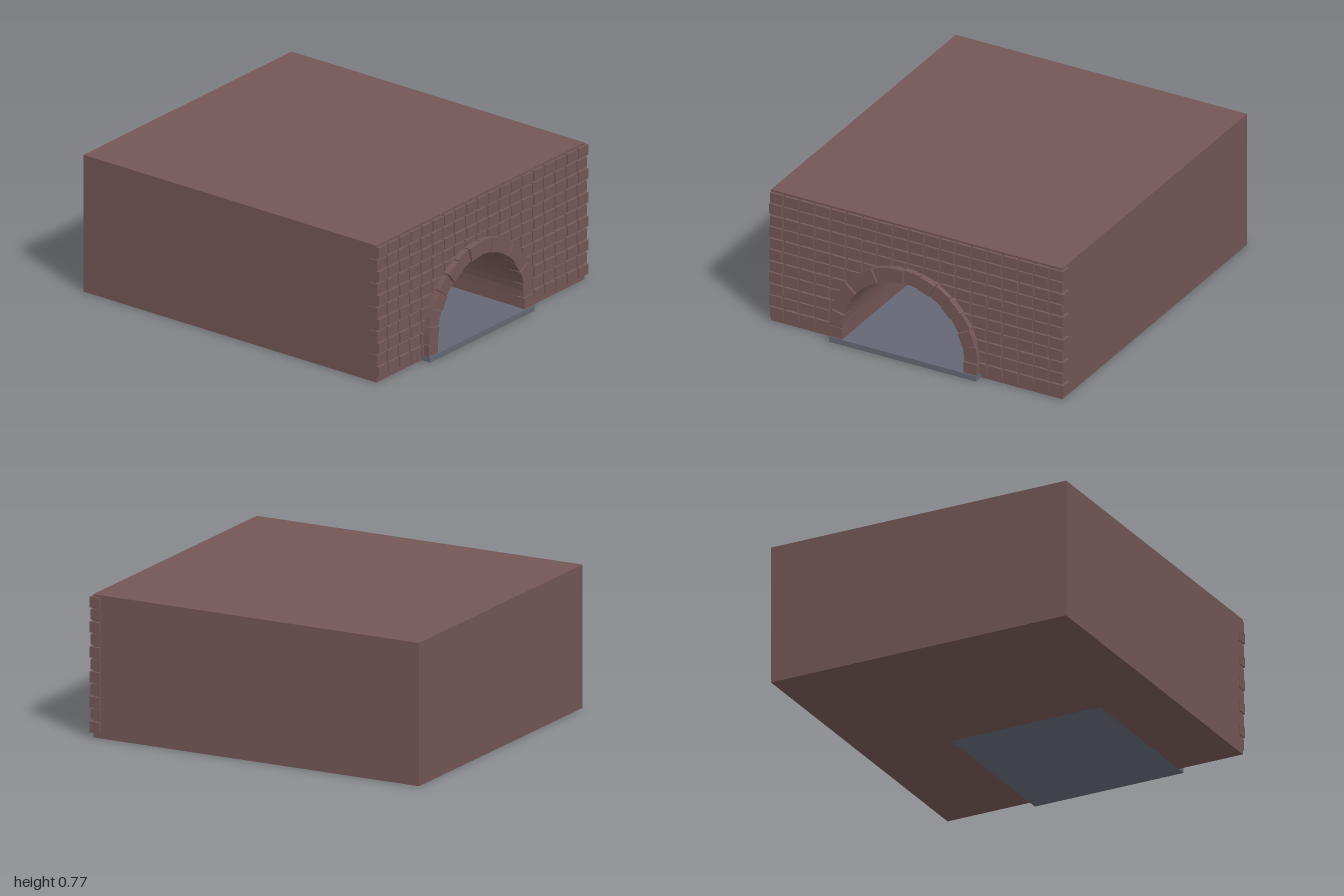
import * as THREE from 'three';

const CX = -0.06, CY = 0.095;        // centre of the arch
const R_IN = 0.365, R_OUT = 0.44;    // arch ring
const BACK = -1, TUNNEL_END = 0.08, FACE = 0.945;
const X0 = -0.88, X1 = 0.867, TOP = 0.775, FLOOR = 0.03;

const brick = new THREE.MeshStandardMaterial({ color: 0x745656 });
brick.name = 'brickBrown';
const slate = new THREE.MeshStandardMaterial({ color: 0x646874 });
slate.name = 'slateGrey';

function add(parent, name, geometry, material) {
  const mesh = new THREE.Mesh(geometry, material);
  mesh.name = name;
  parent.add(mesh);
  return mesh;
}

// box given by its minimum and maximum corners
function box(x0, x1, y0, y1, z0, z1) {
  return new THREE.BoxGeometry(x1 - x0, y1 - y0, z1 - z0)
    .translate((x0 + x1) / 2, (y0 + y1) / 2, (z0 + z1) / 2);
}

// prism with an outline in x, y between two depths
function prism(points, z0, z1) {
  const shape = new THREE.Shape(points.map(([x, y]) => new THREE.Vector2(x, y)));
  return new THREE.ExtrudeGeometry(shape, { depth: z1 - z0, bevelEnabled: false })
    .translate(0, 0, z0);
}

// front block with the tunnel cut out, and the solid block behind it
function buildBody(group) {
  const outline = [[X0, 0], [CX - R_OUT, 0], [CX - R_OUT, FLOOR], [CX - R_IN, FLOOR]];
  for (let i = 0; i <= 28; i++) {
    const a = Math.PI * (1 - i / 28);
    outline.push([CX + R_IN * Math.cos(a), CY + R_IN * Math.sin(a)]);
  }
  outline.push([CX + R_IN, FLOOR], [CX + R_OUT, FLOOR], [CX + R_OUT, 0],
    [X1, 0], [X1, TOP], [X0, TOP]);
  add(group, 'frontBlock', prism(outline, TUNNEL_END, FACE), brick);
  add(group, 'rearBlock', box(X0, X1, 0, TOP, BACK, TUNNEL_END), brick);
}

// one brick, its lower edge trimmed to follow the arch where they meet
function brickGeometry(x0, x1, y0, y1, z0, z1) {
  const R = 0.405;
  const lower = (x) => {
    const d = Math.abs(x - CX);
    return d < R ? Math.max(y0, CY + Math.sqrt(R * R - d * d)) : y0;
  };
  const steps = 10, bottom = [];
  let trimmed = false;
  for (let i = 0; i <= steps; i++) {
    const x = x0 + (x1 - x0) * i / steps, y = lower(x);
    if (y > y0) trimmed = true;
    if (y < y1 - 0.001) bottom.push([x, y]);
  }
  if (!trimmed) return box(x0, x1, y0, y1, z0, z1);
  if (bottom.length < 2) return null;
  const first = bottom[0][0], last = bottom[bottom.length - 1][0];
  return prism([...bottom, [last, y1], [first, y1]], z0, z1);
}

// eleven staggered courses of bricks on the front
function buildBricks(group) {
  const pitch = 0.0938, gap = 0.01, rise = 0.0675, height = 0.058;
  for (let row = 0; row < 11; row++) {
    const odd = row % 2 === 1;
    const y0 = 0.03 + row * rise, y1 = y0 + height;
    const start = odd ? -0.886 : -0.879;
    const end = odd ? 0.873 : 0.882;
    const front = odd ? 0.957 : 0.96;
    let x = start, width = odd ? pitch : pitch * 0.5 + 0.045;
    if (!odd) width = pitch * 0.93;
    else width = pitch * 0.5 + 0.04;
    while (x < end - 0.01) {
      let right = Math.min(x + width - gap, end);
      if (end - right < 0.025) right = end;
      const corner = x === start || right === end;
      const geometry = brickGeometry(x, right, y0, y1, corner ? 0.9 : 0.935, front);
      if (geometry) add(group, 'brick', geometry, brick);
      x = right === end ? end : x + width;
      width = pitch;
    }
  }
}

// ring of wedge stones standing on two short legs
function buildArch(group) {
  const count = 14, step = Math.PI / count, gap = 0.006;
  for (let i = 0; i < count; i++) {
    const a0 = i * step + gap, a1 = (i + 1) * step - gap, am = (a0 + a1) / 2;
    const at = (r, a) => [CX + r * Math.cos(a), CY + r * Math.sin(a)];
    const front = i % 2 ? 0.996 : 0.988;
    add(group, 'archStone', prism([
      at(R_IN - 0.002, a0), at(R_OUT, a0), at(R_OUT + 0.001, am), at(R_OUT, a1),
      at(R_IN - 0.002, a1), at(R_IN - 0.002, am)], 0.925, front), brick);
  }
  for (const side of [-1, 1]) {
    const xa = CX + side * (R_IN - 0.002), xb = CX + side * R_OUT;
    add(group, 'archLeg', box(Math.min(xa, xb), Math.max(xa, xb),
      FLOOR, CY - 0.002, 0.925, 0.994), brick);
  }
}

export function createModel() {
  const model = new THREE.Group();
  model.name = 'brickOven';
  const parts = { body: buildBody, bricks: buildBricks, arch: buildArch };
  for (const [name, build] of Object.entries(parts)) {
    const group = new THREE.Group();
    group.name = name;
    build(group);
    model.add(group);
  }
  // hearth slab running from the sill to the end of the tunnel
  add(model, 'hearthFloor', box(CX - R_OUT, CX + R_OUT, 0, FLOOR + 0.001, TUNNEL_END, 1), slate);
  return model;
}
